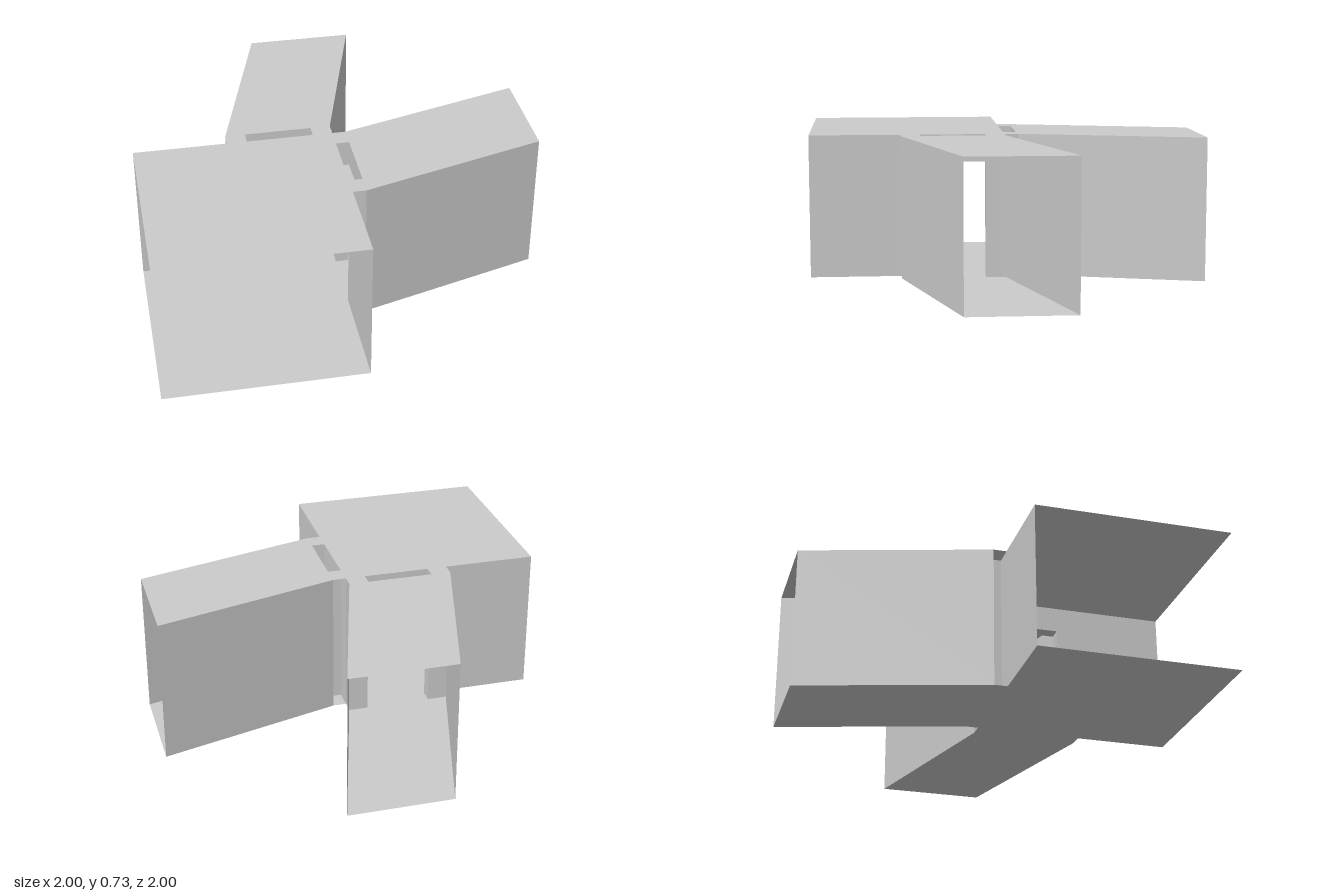
import * as THREE from 'three';

const U = 1 / 15;            // module size
const H = 11, DOOR_H = 9;    // room and door height, in modules
const DOOR_L = -6.5, DOOR_R = -1.5;

const material = new THREE.MeshStandardMaterial({ color: 0xcccccc, side: THREE.DoubleSide, flatShading: true });

function addMesh(parent, name, geometry) {
  const mesh = new THREE.Mesh(geometry, material);
  mesh.name = name;
  parent.add(mesh);
  return mesh;
}

function makeShape(points, hole) {
  const toVec = ([x, y]) => new THREE.Vector2(x * U, y * U);
  const shape = new THREE.Shape(points.map(toVec));
  if (hole) shape.holes.push(new THREE.Path(hole.map(toVec)));
  return shape;
}

// Horizontal slab outline given as [x, z] corners
function slab(parent, name, y, points, hole) {
  const flip = (list) => list && list.map(([x, z]) => [x, -z]);
  const geometry = new THREE.ShapeGeometry(makeShape(flip(points), flip(hole)));
  geometry.rotateX(-Math.PI / 2);
  addMesh(parent, name, geometry).position.y = y * U;
}

// Upright wall between two [x, z] points
function wall(parent, name, [x0, z0], [x1, z1]) {
  const geometry = new THREE.PlaneGeometry(Math.hypot(x1 - x0, z1 - z0) * U, H * U);
  geometry.rotateY(-Math.atan2(z1 - z0, x1 - x0));
  addMesh(parent, name, geometry).position.set((x0 + x1) / 2 * U, H / 2 * U, (z0 + z1) / 2 * U);
}

// Wall facing z with a doorway cut up from the floor
function doorWall(parent, name, left, z) {
  const outline = [
    [left, 0], [DOOR_L, 0], [DOOR_L, DOOR_H], [DOOR_R, DOOR_H],
    [DOOR_R, 0], [0, 0], [0, H], [left, H],
  ];
  addMesh(parent, name, new THREE.ShapeGeometry(makeShape(outline))).position.z = z * U;
}

// Doorway through a hollow wall, leading into a slanted corridor
function passage(name) {
  const group = new THREE.Group();
  group.name = name;
  const outline = [[-8, 0], [-8, -1], [-4, -15], [4, -15], [0, -1], [0, 0]];
  const doorway = [[DOOR_L, 0], [DOOR_R, 0], [DOOR_R, -1], [DOOR_L, -1]];

  slab(group, 'corridorFloor', 0, outline);
  slab(group, 'corridorCeiling', H, outline, doorway);
  slab(group, 'doorSoffit', DOOR_H, doorway);
  doorWall(group, 'roomWall', -15, 0);
  doorWall(group, 'corridorEndWall', -8, -1);
  for (const x of [DOOR_L, DOOR_R]) wall(group, 'doorJamb', [x, 0], [x, -1]);
  for (const x of [-8, 0]) wall(group, 'corridorSideWall', [x, -1], [x + 4, -15]);
  return group;
}

export function createModel() {
  const model = new THREE.Group();
  model.name = 'roomWithCorridors';

  // Square room, open on its two outer sides
  const room = [[-15, 0], [0, 0], [0, 15], [-15, 15]];
  slab(model, 'roomFloor', 0, room);
  slab(model, 'roomCeiling', H, room);

  // Two passages, mirrored across the room's diagonal
  model.add(passage('backPassage'));
  const side = passage('leftPassage');
  side.scale.x = -1;
  side.rotation.y = -Math.PI / 2;
  model.add(side);

  return model;
}
